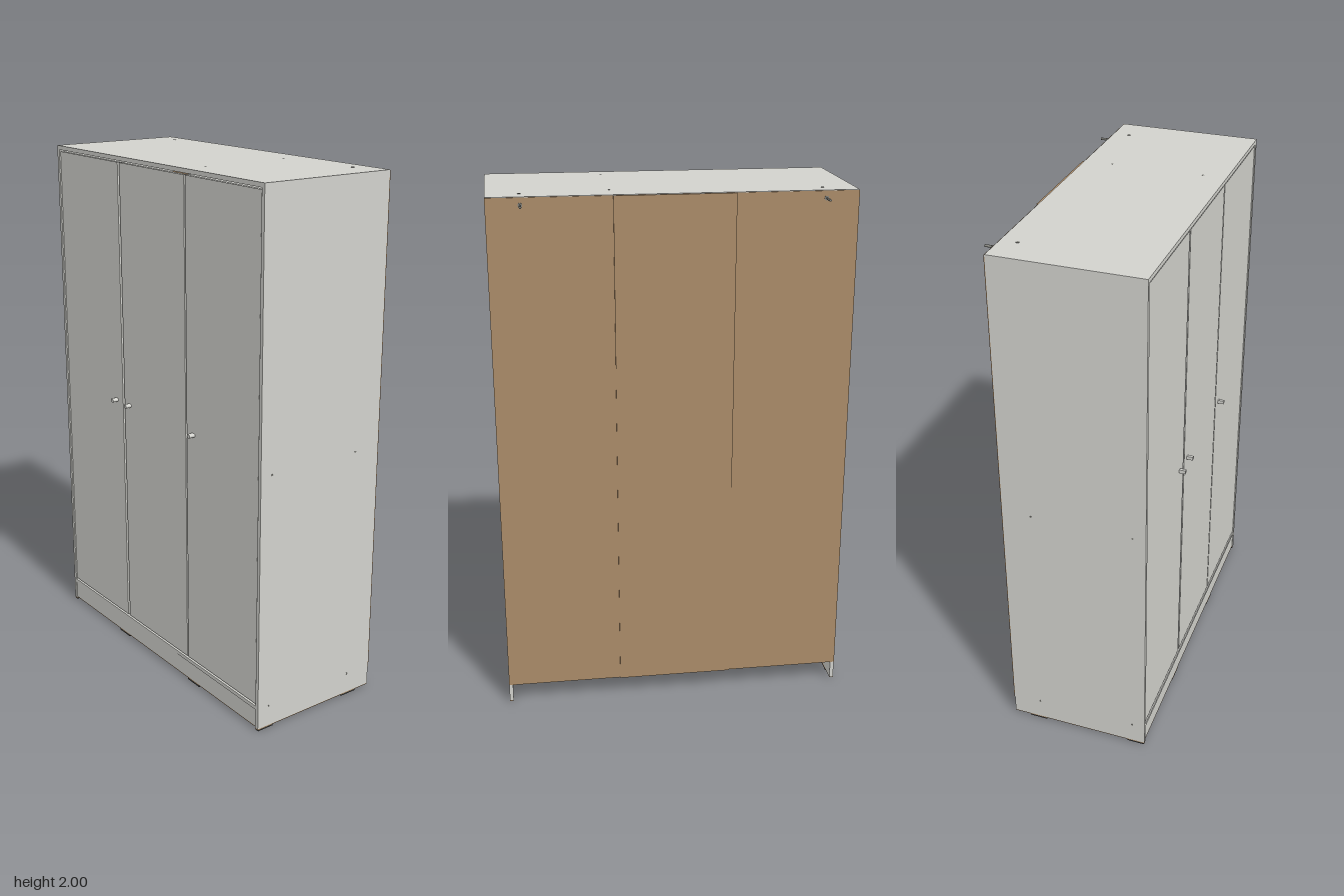
import * as THREE from 'three';

export function createModel() {
  const root = new THREE.Group();
  root.name = 'wardrobe';

  const mat = (name, color) => {
    const m = new THREE.MeshStandardMaterial({ color });
    m.name = name;
    return m;
  };
  const paint = mat('light grey panel', 0xd2d2cd);
  const board = mat('brown raw board', 0xab8c69);
  const metal = mat('grey metal', 0x85857f);
  const pad = mat('dark pad', 0x3a3a38);

  // Box given by its lower and upper limits on each axis
  function box(name, [x0, x1], [y0, y1], [z0, z1], material, parent = root) {
    const mesh = new THREE.Mesh(new THREE.BoxGeometry(x1 - x0, y1 - y0, z1 - z0), material);
    mesh.position.set((x0 + x1) / 2, (y0 + y1) / 2, (z0 + z1) / 2);
    mesh.name = name;
    parent.add(mesh);
    return mesh;
  }
  // Cylinder whose axis runs along y or z
  function rod(name, r, length, [x, y, z], material, axis = 'z') {
    const mesh = new THREE.Mesh(new THREE.CylinderGeometry(r, r, length, 12), material);
    if (axis === 'z') mesh.rotation.x = Math.PI / 2;
    if (axis === 'x') mesh.rotation.z = Math.PI / 2;
    mesh.position.set(x, y, z);
    mesh.name = name;
    root.add(mesh);
  }

  const W = 0.66, T = 0.015, back = -0.255, front = 0.29;
  const inner = W - T;

  // Side panels with raw lower edges and gliding pads
  for (const s of [-1, 1]) {
    const xs = s < 0 ? [-W, -inner] : [inner, W];
    box('sidePanel', xs, [0.009, 2], [back, front], paint);
    box('sideRawEdge', xs, [0.006, 0.009], [back, front], board);
    for (const z of [[0.22, 0.288], [-0.19, -0.12]]) box('sidePad', xs, [0, 0.006], z, pad);
    // Cam fittings on the outer face
    for (const y of [0.09, 1.0]) for (const z of [0.24, -0.145])
      rod('sideFitting', 0.004, 0.002, [s * W, y, z], metal, 'x');
  }

  // Carcass panels
  box('topPanel', [-inner, inner], [1.984, 2], [back, front], paint);
  box('bottomPanel', [-inner, inner], [0.085, 0.1], [back, front], paint);
  box('partition', [0.206, 0.221], [0.1, 1.984], [back, 0.265], paint);
  box('fixedShelf', [0.221, inner], [0.99, 1.005], [back, 0.26], paint);
  box('hatShelf', [-inner, 0.206], [1.68, 1.695], [back, 0.26], paint);
  rod('hangingRail', 0.01, 0.85, [-0.22, 1.64, 0], metal, 'x');

  // Plinth and middle rail under the bottom panel
  for (const [name, z] of [['plinth', [0.272, 0.287]], ['middleRail', [-0.06, -0.045]]]) {
    box(name, [-inner, inner], [0.013, 0.085], z, paint);
    box(name + 'RawEdge', [-inner, inner], [0.01, 0.013], z, board);
    for (const s of [-1, 1])
      box(name + 'Pad', [s * 0.25 - 0.037, s * 0.25 + 0.037], [0.003, 0.01], z, pad);
  }

  // Back boards, the middle one lapping over the outer two
  box('backBoardRight', [-W, -0.2], [0.08, 1.998], [-0.258, back], board);
  box('backBoardLeft', [0.2, W], [0.08, 1.998], [-0.258, back], board);
  box('backBoardMiddle', [-0.218, 0.218], [0.08, 1.998], [-0.263, back], board);

  // Inset doors
  const doors = [[-0.641, -0.219], [-0.207, 0.21], [0.217, 0.641]];
  for (const x of doors) box('door', x, [0.106, 1.977], [0.271, 0.287], paint);
  box('doorStop', [-0.22, -0.203], [0.106, 1.977], [0.266, 0.27], paint);

  // D-shaped knobs
  const d = new THREE.Shape();
  d.moveTo(-0.007, -0.007);
  d.lineTo(0.002, -0.007);
  d.absarc(0.002, 0, 0.007, -Math.PI / 2, Math.PI / 2, false);
  d.lineTo(-0.007, 0.007);
  d.closePath();
  const knobGeo = new THREE.ExtrudeGeometry(d, { depth: 0.024, bevelEnabled: false, curveSegments: 8 });
  for (const x of [-0.263, -0.168, 0.26]) {
    const knob = new THREE.Mesh(knobGeo, paint);
    knob.position.set(x, 1.04, 0.287);
    knob.name = 'knob';
    root.add(knob);
  }

  // Wall screws and the small fixings on top
  for (const x of [-0.54, 0.54]) {
    rod('wallScrew', 0.003, 0.052, [x, 1.972, -0.284], metal);
    rod('wallScrewSleeve', 0.0045, 0.025, [x, 1.972, -0.297], metal);
    rod('wallScrewWasher', 0.008, 0.003, [x, 1.972, -0.26], metal);
    rod('topFixing', 0.006, 0.003, [x, 2, -0.193], metal, 'y');
  }
  for (const z of [-0.147, 0.203]) rod('partitionFixing', 0.004, 0.002, [0.222, 2, z], metal, 'y');

  return root;
}
